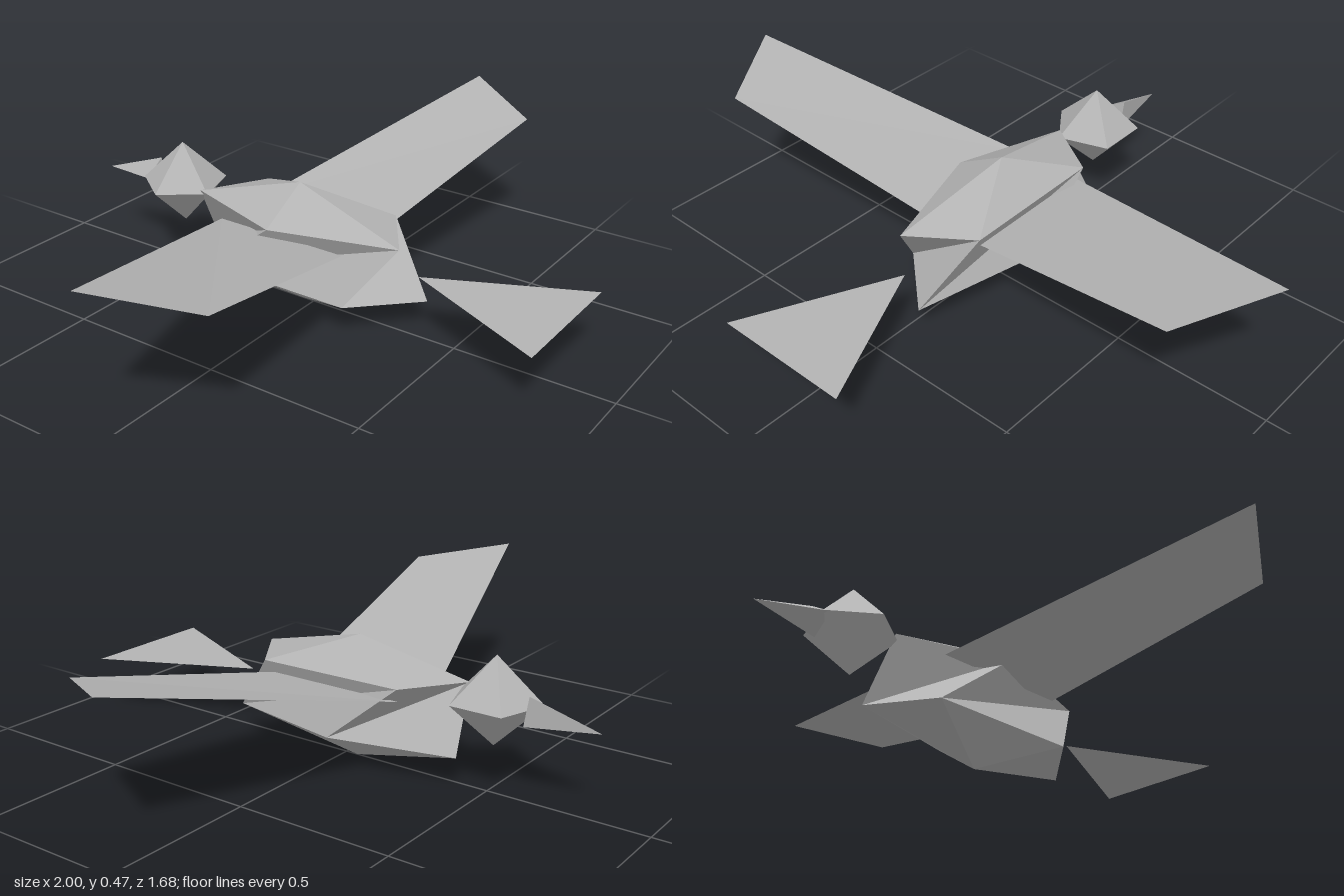
import * as THREE from 'three';

const grey = new THREE.MeshStandardMaterial({ color: 0xb3b3b3, flatShading: true, side: THREE.DoubleSide });
grey.name = 'plumage grey';

// Faceted mesh from corner points and triangles
function facets(name, points, faces) {
  const geo = new THREE.BufferGeometry();
  geo.setAttribute('position', new THREE.Float32BufferAttribute(points.flat(), 3));
  geo.setIndex(faces.flat());
  const flat = geo.toNonIndexed();
  flat.computeVertexNormals();
  const mesh = new THREE.Mesh(flat, grey);
  mesh.name = name;
  return mesh;
}

export function createModel() {
  const bird = new THREE.Group();
  bird.name = 'bird';

  // Body: two five-sided rings, joined with a twist and capped by a top and a bottom point
  const upper = [[-0.17, 0.295, -0.05], [-0.05, 0.29, 0.335], [0.14, 0.295, 0.205], [0.138, 0.3, -0.275], [-0.055, 0.295, -0.4]];
  const lower = [[-0.14, 0.1, 0.2], [0.053, 0.092, 0.375], [0.155, 0.105, -0.04], [0.053, 0.1, -0.425], [-0.14, 0.1, -0.3]];
  const U = i => i % 5, L = i => 5 + (i % 5), top = 10, bottom = 11;
  const faces = [];
  for (let i = 0; i < 5; i++) {
    faces.push([top, U(i), U(i + 1)], [bottom, L(i + 1), L(i)]);
    faces.push([L(i), L(i + 1), U(i + 2)], [U(i + 1), L(i), U(i + 2)]);
  }
  bird.add(facets('body', [...upper, ...lower, [0, 0.39, -0.05], [0, 0, -0.04]], faces));

  // Head: five-sided double pyramid
  const profile = [[0, -0.135], [0.14, 0], [0, 0.135]].map(p => new THREE.Vector2(...p));
  const head = new THREE.Mesh(new THREE.LatheGeometry(profile, 5, -Math.PI / 2), grey);
  head.name = 'head';
  head.position.set(0, 0.28, -0.515);
  bird.add(head);

  // Beak: three-sided spike
  bird.add(facets('beak',
    [[0, 0.255, -0.842], [-0.053, 0.28, -0.628], [0.027, 0.325, -0.635], [0.027, 0.233, -0.62]],
    [[0, 1, 2], [0, 2, 3], [0, 3, 1], [1, 3, 2]]));

  // Wings: thin raised sheets, mirrored
  for (const s of [1, -1]) {
    const order = s > 0 ? [[0, 1, 2], [0, 2, 3]] : [[0, 2, 1], [0, 3, 2]];
    bird.add(facets(s > 0 ? 'leftWing' : 'rightWing',
      [[s * 0.115, 0.255, -0.265], [s * 0.115, 0.255, 0.182], [s * 0.83, 0.415, 0.287], [s, 0.47, 0.01]], order));
  }

  // Tail: flat triangular sheet
  bird.add(facets('tail', [[0, 0.195, 0.372], [-0.22, 0.195, 0.842], [0.22, 0.195, 0.842]], [[0, 1, 2]]));

  return bird;
}
